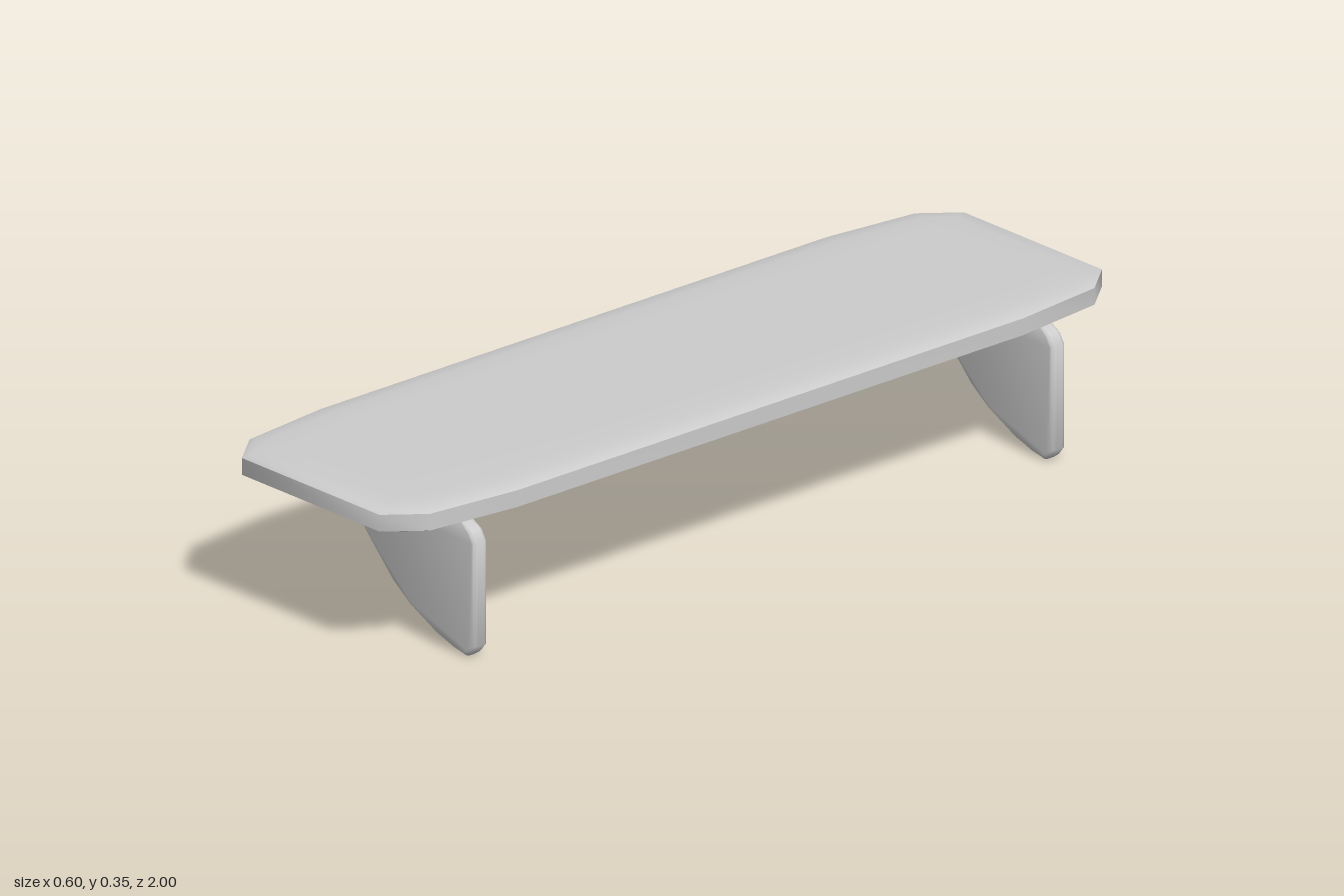
import * as THREE from 'three';
import { toCreasedNormals } from 'three/addons/utils/BufferGeometryUtils.js';

const material = new THREE.MeshStandardMaterial({ color: 0xcccccc });

// Extrudes an outline to a total thickness, centred on z, with edges rounded inside the outline.
function roundedSlab(points, thickness, bevelThickness, bevelSize, segments) {
  const shape = new THREE.Shape(points.map(([x, y]) => new THREE.Vector2(x, y)));
  const depth = thickness - 2 * bevelThickness;
  const geometry = new THREE.ExtrudeGeometry(shape, {
    depth, bevelEnabled: true, bevelThickness, bevelSize,
    bevelOffset: -bevelSize, bevelSegments: segments,
  });
  geometry.translate(0, 0, -depth / 2);
  return toCreasedNormals(geometry, 0.95);
}

export function createModel() {
  const group = new THREE.Group();

  // Long board with clipped corners and a gently crowned top and bottom
  const corner = [[0.3, 0.7], [0.275, 0.92], [0.21, 1]];
  const mirrored = corner.map(([x, z]) => [-x, z]).reverse();
  const half = [...corner, ...mirrored];
  const outline = [...half, ...half.map(([x, z]) => [-x, -z])];
  const boardGeometry = roundedSlab(outline, 0.058, 0.0105, 0.09, 3);
  boardGeometry.rotateX(-Math.PI / 2);
  const board = new THREE.Mesh(boardGeometry, material);
  board.name = 'shelfBoard';
  board.position.y = 0.326;
  group.add(board);

  // Curved brackets below the board, flush with the wall side (+x)
  const bracketOutline = [
    [0.258, 0.295], [-0.065, 0.295], [-0.084, 0.262], [-0.07, 0.236], [-0.037, 0.187],
    [0.048, 0.1], [0.1, 0.063], [0.18, 0.024], [0.23, 0.008], [0.272, 0],
    [0.285, 0.009], [0.3, 0.028], [0.3, 0.257], [0.285, 0.281],
  ];
  const bracketGeometry = roundedSlab(bracketOutline, 0.038, 0.01, 0.01, 3);
  for (const [name, z] of [['frontBracket', 0.8], ['backBracket', -0.8]]) {
    const bracket = new THREE.Mesh(bracketGeometry, material);
    bracket.name = name;
    bracket.position.z = z;
    group.add(bracket);
  }

  return group;
}
